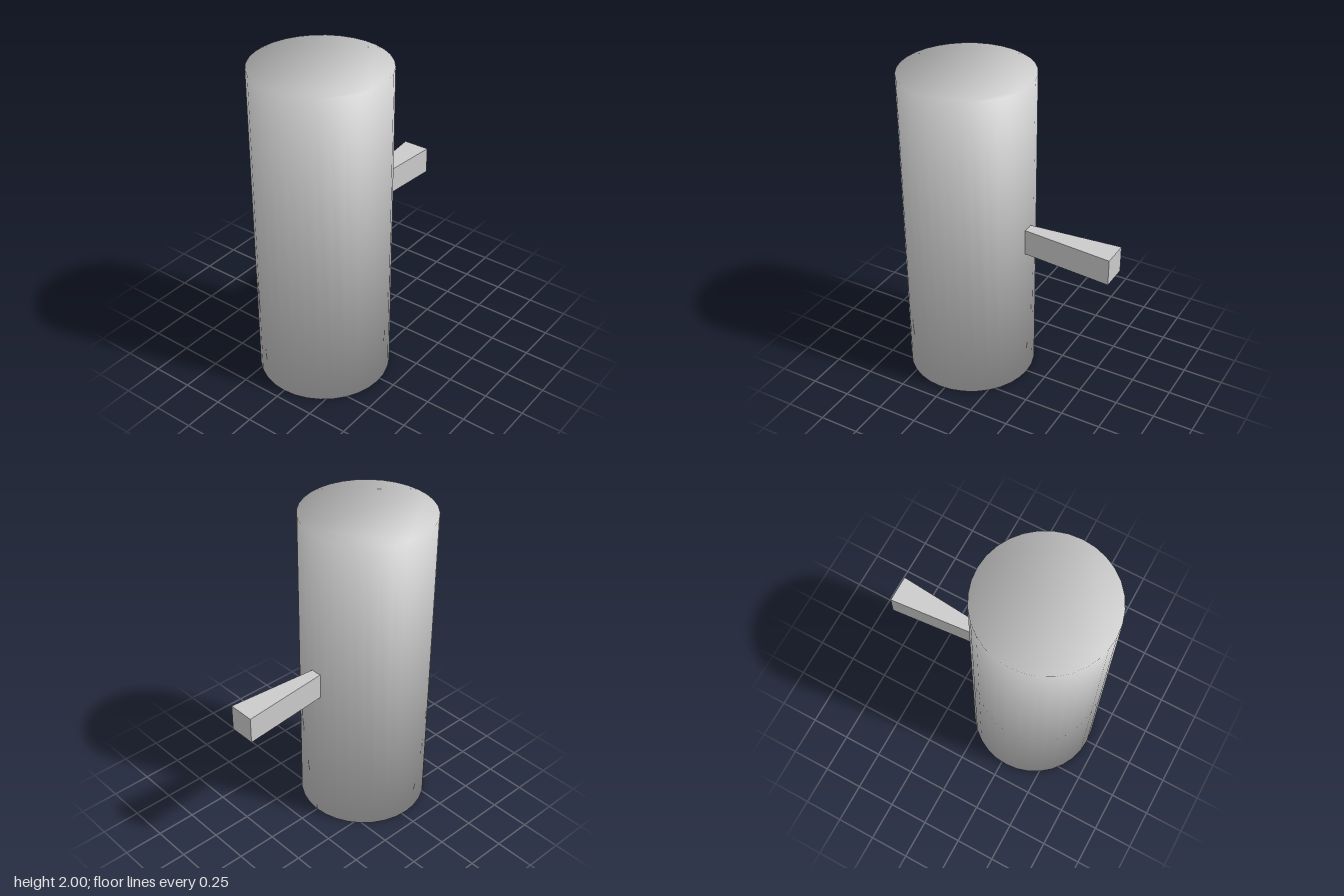
import * as THREE from 'three';

// Extrude a plan outline of [x, z] points upward from y0 to y1
function prism(points, y0, y1) {
  const shape = new THREE.Shape(points.map(([x, z]) => new THREE.Vector2(x, -z)));
  const geometry = new THREE.ExtrudeGeometry(shape, { depth: y1 - y0, bevelEnabled: false });
  return geometry.rotateX(-Math.PI / 2).translate(0, y0, 0);
}

export function createModel() {
  const group = new THREE.Group();
  group.name = 'mug';
  const material = new THREE.MeshStandardMaterial({ color: 0xcccccc });

  // Body: closed 32-sided cylinder, shaded smoothly across its rims
  const radius = 0.402, height = 2, sides = 32;
  const circle = [];
  for (let i = 0; i < sides; i++) {
    const a = (i / sides) * Math.PI * 2;
    circle.push([Math.cos(a) * radius, Math.sin(a) * radius]);
  }
  const bodyGeometry = prism(circle, 0, height);
  const position = bodyGeometry.attributes.position;
  const normal = new THREE.Vector3();
  for (let i = 0; i < position.count; i++) {
    const rise = position.getY(i) > height / 2 ? 0.94 : -0.94;
    normal.set(position.getX(i), rise * radius, position.getZ(i)).normalize();
    bodyGeometry.attributes.normal.setXYZ(i, normal.x, normal.y, normal.z);
  }
  const body = new THREE.Mesh(bodyGeometry, material);
  body.name = 'body';
  body.position.x = -0.282;
  group.add(body);

  // Handle: straight bar that widens away from the body
  const outline = [[0.115, 0.034], [0.684, 0.083], [0.684, -0.083], [0.115, -0.034]];
  const handle = new THREE.Mesh(prism(outline, 0.919, 1.084), material);
  handle.name = 'handle';
  group.add(handle);

  return group;
}
